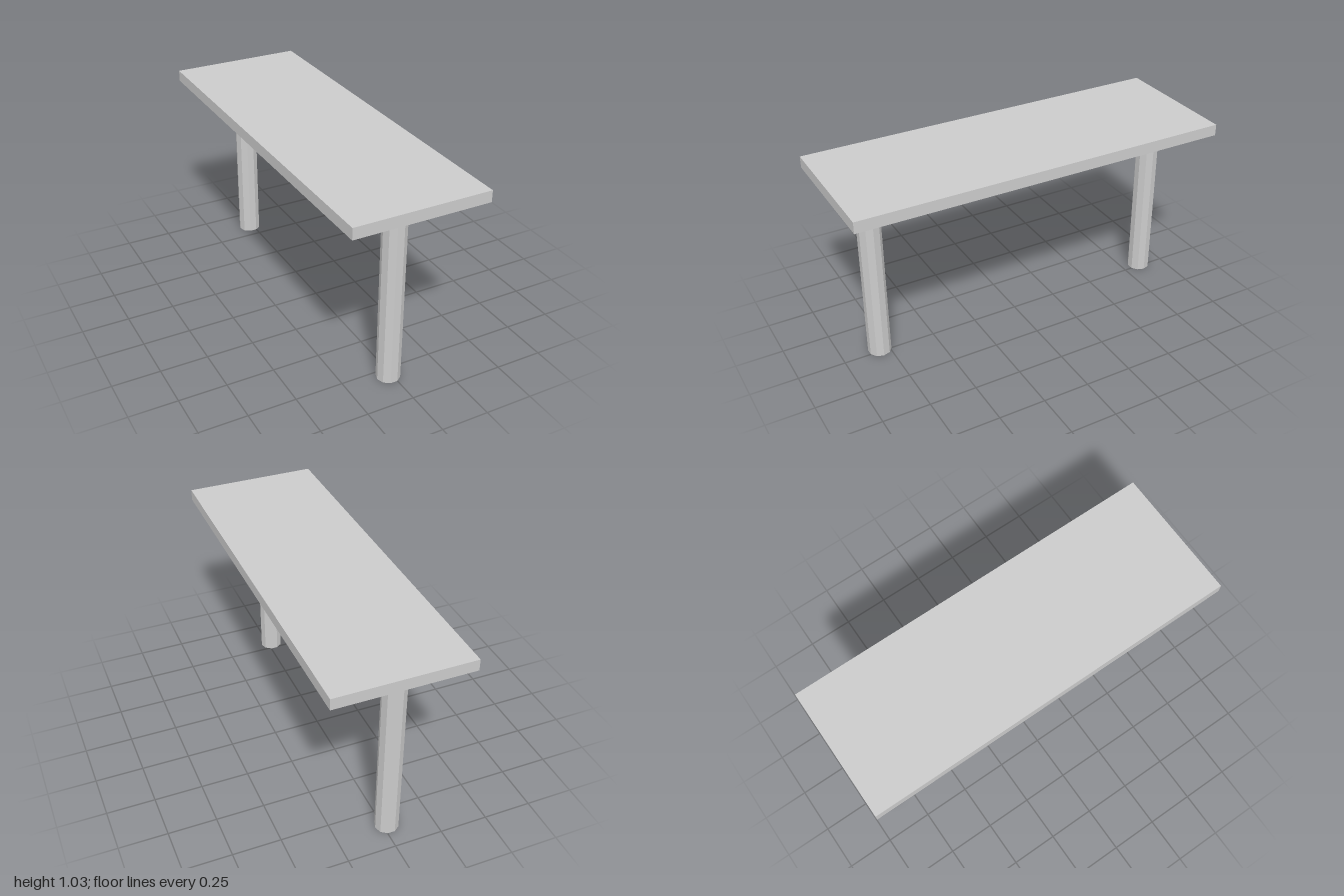
import * as THREE from 'three';

export function createModel() {
  const group = new THREE.Group();
  const material = new THREE.MeshStandardMaterial({ color: 0xcccccc, flatShading: true });

  const legHeight = 0.975;
  const topThickness = 0.06;

  // Flat slab resting on the legs
  const top = new THREE.Mesh(new THREE.BoxGeometry(0.71, topThickness, 2), material);
  top.name = 'tableTop';
  top.position.y = legHeight + topThickness / 2;
  group.add(top);

  // Two ten-sided posts, with corners pointing along x and set slightly off centre
  const legGeometry = new THREE.CylinderGeometry(0.061, 0.061, legHeight, 10, 1, false, Math.PI / 2);
  for (const [name, z] of [['frontLeg', 0.8], ['backLeg', -0.853]]) {
    const leg = new THREE.Mesh(legGeometry, material);
    leg.name = name;
    leg.position.set(-0.02, legHeight / 2, z);
    group.add(leg);
  }

  return group;
}
